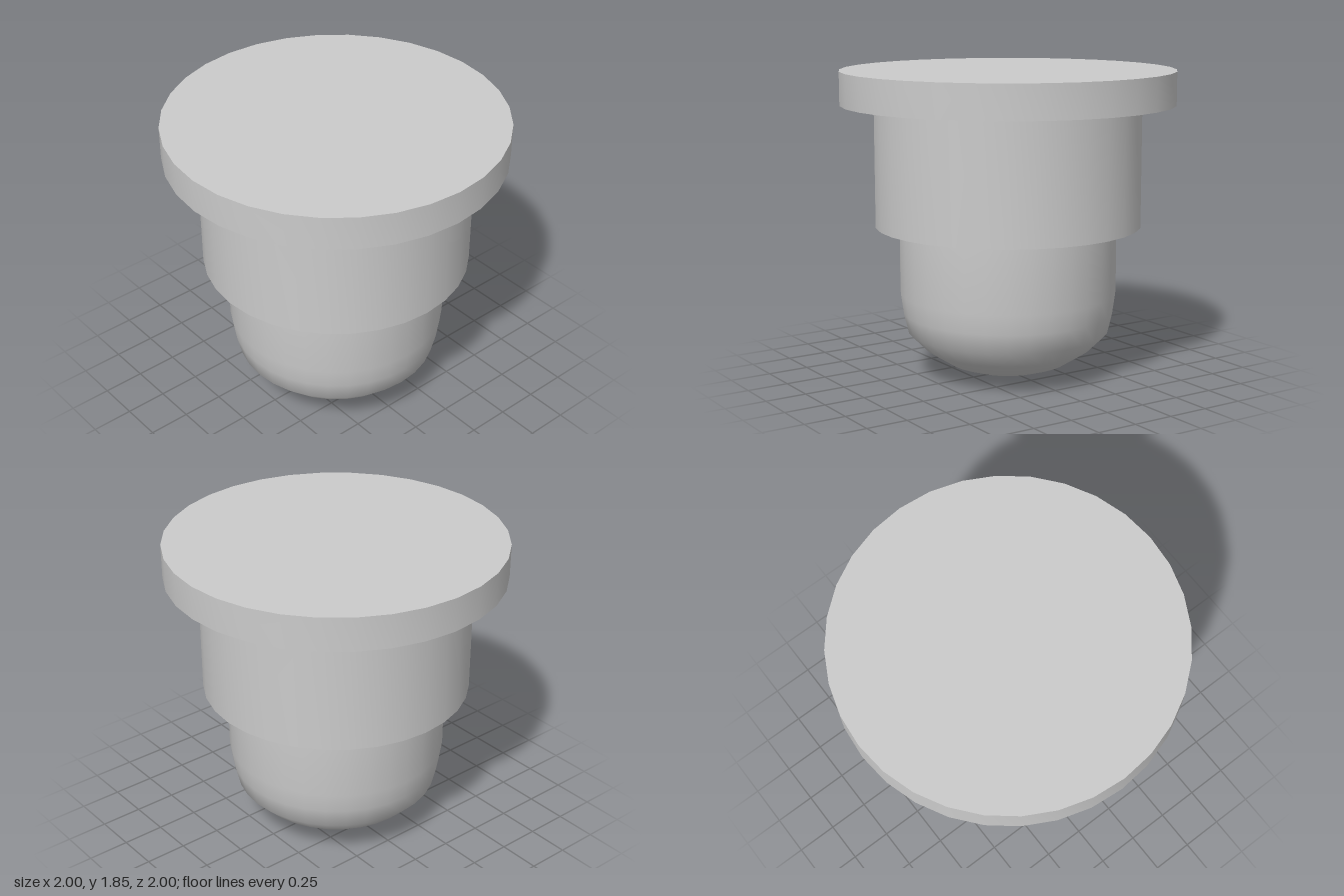
import * as THREE from 'three';
import { toCreasedNormals } from 'three/addons/utils/BufferGeometryUtils.js';

const SIDES = 32;

export function createModel() {
  const group = new THREE.Group();
  group.name = 'plug';
  const material = new THREE.MeshStandardMaterial({ color: 0xcccccc });

  // Revolve a bottom-to-top [radius, height] profile, keeping sharp rims
  const turned = (name, profile) => {
    const points = profile.map(([r, y]) => new THREE.Vector2(r, y));
    const geometry = toCreasedNormals(new THREE.LatheGeometry(points, SIDES), 0.8);
    const mesh = new THREE.Mesh(geometry, material);
    mesh.name = name;
    group.add(mesh);
  };

  // Rounded nose at the bottom
  turned('roundedTip', [
    [0, 0], [0.07, 0], [0.24, 0.035], [0.37, 0.08], [0.51, 0.17],
    [0.61, 0.27], [0.638, 0.39], [0.655, 0.51], [0.655, 0.92],
  ]);

  // Wider collar with its downward-facing step
  turned('collar', [[0.655, 0.92], [0.8, 0.92], [0.8, 1.65]]);

  // Flat head with underside, rim and closed top
  turned('head', [[0.8, 1.65], [1, 1.65], [1, 1.85], [0, 1.85]]);

  return group;
}
